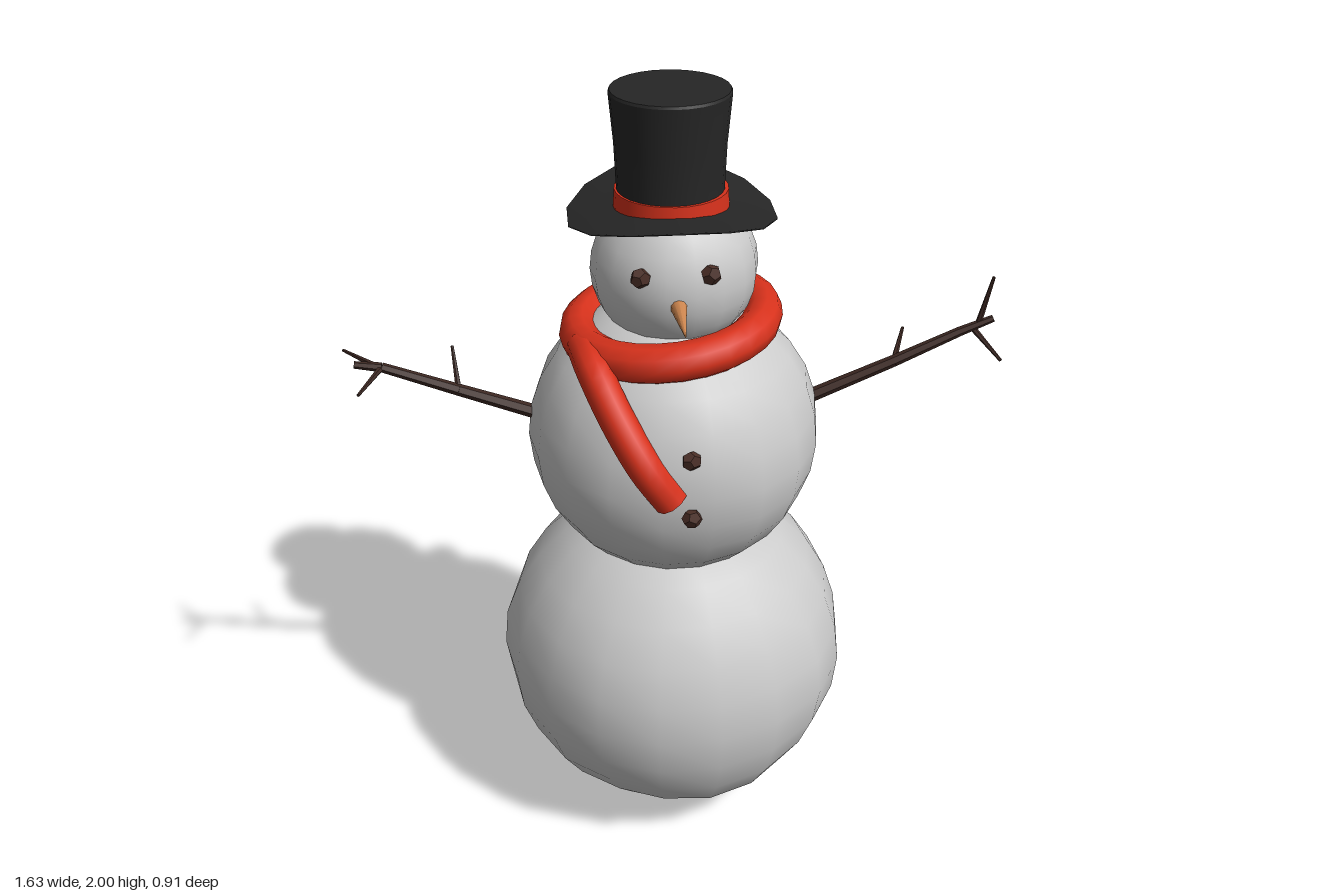
import * as THREE from 'three';
import { mergeVertices } from 'three/addons/utils/BufferGeometryUtils.js';

const V = (a) => new THREE.Vector3(...a);
const mat = (color, extra = {}) => new THREE.MeshStandardMaterial({ color, ...extra });

export function createModel() {
  const model = new THREE.Group();
  const snow = mat(0xcccccc);
  const black = mat(0x262626, { side: THREE.DoubleSide });
  const red = mat(0xd8321c);
  const wood = mat(0x3d2822, { flatShading: true });
  const coal = mat(0x4a2e26, { flatShading: true });
  const orange = mat(0xd08850);

  const add = (name, geometry, material, pos = [0, 0, 0], parent = model) => {
    const mesh = new THREE.Mesh(geometry, material);
    mesh.name = name;
    mesh.position.set(...pos);
    parent.add(mesh);
    return mesh;
  };

  // Snowballs: coarse smooth spheres with gentle lumps
  const snowball = (name, radius, y, phase) => {
    let g = new THREE.SphereGeometry(radius, 18, 14);
    g.deleteAttribute('uv');
    g.deleteAttribute('normal');
    g = mergeVertices(g, 1e-4);
    const p = g.attributes.position;
    const v = new THREE.Vector3();
    for (let i = 0; i < p.count; i++) {
      v.fromBufferAttribute(p, i);
      const d = v.clone().divideScalar(radius);
      const lump = Math.sin(5 * d.x + phase) * Math.sin(4 * d.y + 2 * phase) * Math.cos(5 * d.z - phase);
      v.multiplyScalar(1 + 0.015 * lump);
      p.setXYZ(i, v.x, v.y, v.z);
    }
    g.computeVertexNormals();
    add(name, g, snow, [0.003, y, 0]);
  };
  snowball('lowerBody', 0.462, 0.463, 0.4);
  snowball('upperBody', 0.367, 1.13, 1.3);
  snowball('head', 0.201, 1.575, 2.2);

  // Top hat: saddle-shaped brim, flared crown and band
  const hat = new THREE.Group();
  hat.name = 'hat';
  model.add(hat);
  const brim = new THREE.LatheGeometry(
    [[0.11, -0.008], [0.18, -0.012], [0.248, -0.002], [0.248, 0.002], [0.18, 0.006], [0.11, 0.012]]
      .map(([x, y]) => new THREE.Vector2(x, y)), 14);
  const bp = brim.attributes.position;
  for (let i = 0; i < bp.count; i++) {
    const x = bp.getX(i), z = bp.getZ(i);
    bp.setY(i, bp.getY(i) + 0.026 * (z * z - x * x) / (0.245 * 0.245));
  }
  brim.computeVertexNormals();
  add('hatBrim', brim, black, [-0.003, 1.727, -0.003], hat);
  const crown = [[0.126, 1.71], [0.126, 1.78], [0.13, 1.88], [0.14, 1.994]];
  add('hatCrown', new THREE.LatheGeometry(crown.map(([x, y]) => new THREE.Vector2(x, y)), 28), black, [-0.005, 0, 0], hat);
  add('hatTop', new THREE.CylinderGeometry(0.137, 0.14, 0.006, 28), black, [-0.005, 1.997, 0], hat);
  add('hatBand', new THREE.CylinderGeometry(0.133, 0.136, 0.045, 28), red, [-0.003, 1.748, 0], hat);

  // Scarf: tilted ring with two hanging tails
  const scarf = new THREE.Group();
  scarf.name = 'scarf';
  model.add(scarf);
  const ring = new THREE.TorusGeometry(0.226, 0.048, 10, 28).rotateX(Math.PI / 2);
  add('scarfRing', ring, red, [-0.005, 1.43, -0.003], scarf).rotation.z = 0.11;
  const tail = (name, points) => {
    const curve = new THREE.CatmullRomCurve3(points.map(V));
    add(name, new THREE.TubeGeometry(curve, 16, 0.042, 10), red, [0, 0, 0], scarf);
    const end = curve.getPoint(1);
    const cap = add(name + 'End', new THREE.CircleGeometry(0.042, 10), red, end.toArray(), scarf);
    cap.lookAt(end.clone().add(curve.getTangent(1)));
  };
  tail('frontTail', [[-0.22, 1.41, 0.08], [-0.2, 1.4, 0.2], [-0.155, 1.32, 0.285], [-0.095, 1.22, 0.342], [-0.035, 1.13, 0.345]]);
  tail('backTail', [[0.17, 1.44, -0.16], [0.13, 1.41, -0.25], [0.065, 1.32, -0.31], [0.02, 1.2, -0.32]]);

  // Stick arms: chains of tapered twigs
  const twig = (parent, name, from, to, r0, r1) => {
    const a = V(from), b = V(to), dir = b.clone().sub(a);
    const mesh = add(name, new THREE.CylinderGeometry(r1, r0, dir.length(), 6), wood,
      a.clone().add(b).multiplyScalar(0.5).toArray(), parent);
    mesh.quaternion.setFromUnitVectors(new THREE.Vector3(0, 1, 0), dir.normalize());
  };
  const arm = (name, path, twigs) => {
    const g = new THREE.Group();
    g.name = name;
    model.add(g);
    for (let i = 0; i < path.length - 1; i++)
      twig(g, 'branch', path[i], path[i + 1], 0.018 - 0.003 * i, 0.015 - 0.003 * i);
    twigs.forEach(([a, b]) => twig(g, 'twig', a, b, 0.008, 0.004));
  };
  arm('leftArm', [[0.33, 1.19, 0], [0.56, 1.29, 0.003], [0.72, 1.365, 0.005], [0.8, 1.4, 0.01]], [
    [[0.56, 1.29, 0], [0.6, 1.335, -0.09]],
    [[0.765, 1.385, 0.005], [0.79, 1.51, 0.005]],
    [[0.75, 1.375, 0], [0.81, 1.315, 0.075]],
  ]);
  arm('rightArm', [[-0.33, 1.185, 0], [-0.53, 1.265, 0.003], [-0.71, 1.335, 0], [-0.775, 1.345, 0]], [
    [[-0.53, 1.265, 0], [-0.54, 1.36, -0.05]],
    [[-0.725, 1.34, 0], [-0.81, 1.34, -0.09]],
    [[-0.71, 1.335, 0], [-0.76, 1.315, 0.1]],
  ]);

  // Carrot nose
  add('nose', new THREE.ConeGeometry(0.022, 0.18, 10).rotateX(Math.PI / 2), orange, [-0.005, 1.556, 0.265]);

  // Coal eyes and buttons
  const lump = (name, pos, turn) => {
    const g = new THREE.DodecahedronGeometry(0.025).scale(1, 1, 0.7);
    add(name, g, coal, pos).rotation.z = turn;
  };
  lump('rightEye', [-0.09, 1.622, 0.175], 0.3);
  lump('leftEye', [0.07, 1.627, 0.182], 0.8);
  lump('upperButton', [0.01, 1.24, 0.35], 0.5);
  lump('lowerButton', [0.01, 1.092, 0.368], 1.1);

  return model;
}
